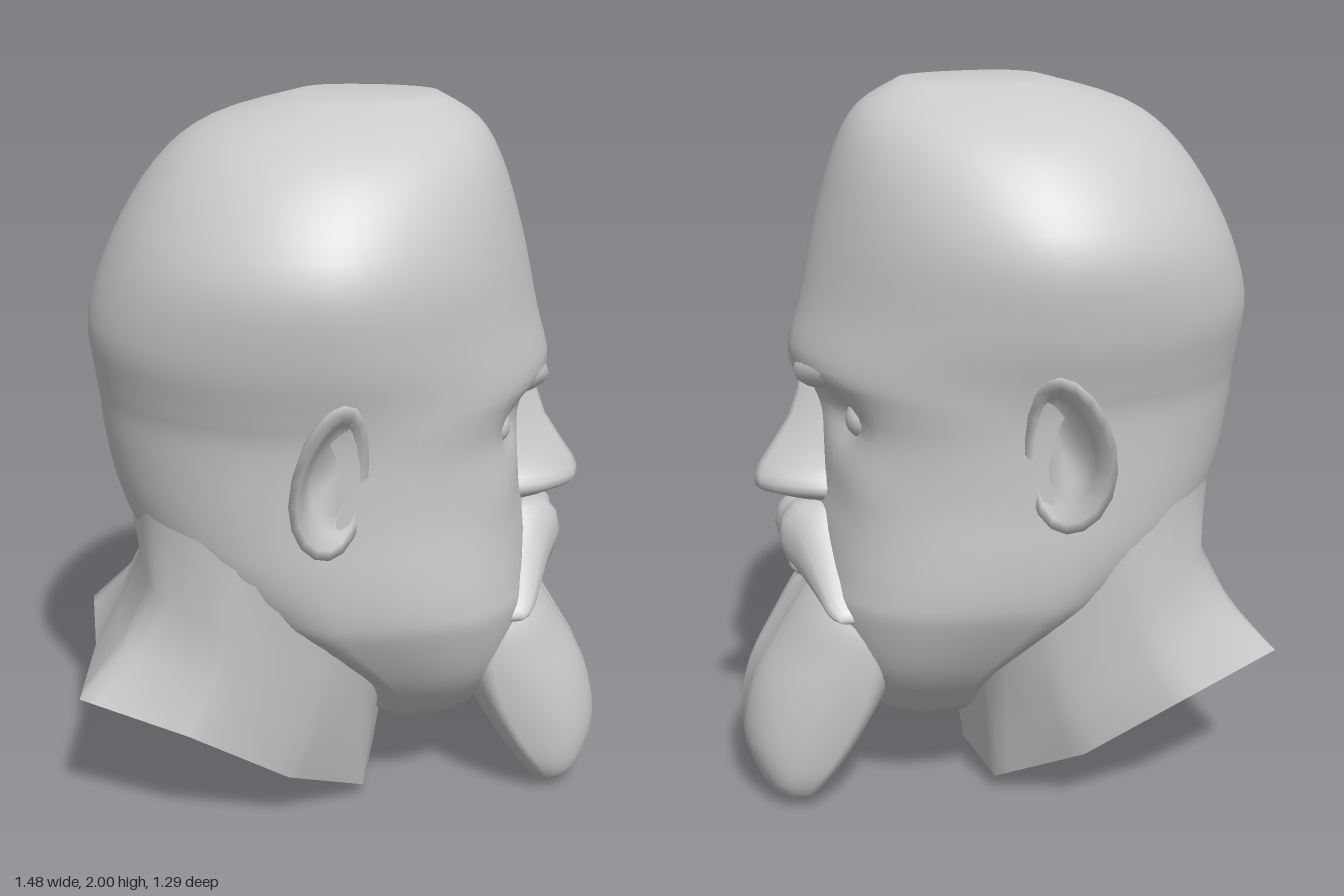
import * as THREE from 'three';

const material = new THREE.MeshStandardMaterial({ color: 0xcccccc, side: THREE.DoubleSide });

// Skin a list of closed loops (each a list of [x, y, z])
function loft(name, loops, caps = true) {
  const n = loops[0].length;
  const middle = (loop) => {
    const c = [0, 1, 2].map((k) => loop.reduce((s, p) => s + p[k], 0) / n);
    return loop.map(() => c);
  };
  const all = caps ? [middle(loops[0]), ...loops, middle(loops[loops.length - 1])] : loops;
  const index = [];
  for (let i = 0; i < all.length - 1; i++) {
    for (let j = 0; j < n; j++) {
      const a = i * n + j, b = i * n + (j + 1) % n;
      index.push(a, b, a + n, b, b + n, a + n);
    }
  }
  const geometry = new THREE.BufferGeometry();
  geometry.setAttribute('position', new THREE.Float32BufferAttribute(all.flat(2), 3));
  geometry.setIndex(index);
  geometry.computeVertexNormals();
  const mesh = new THREE.Mesh(geometry, material);
  mesh.name = name;
  return mesh;
}

// Insert rows between the given ones: bend 1 is a smooth curve, bend 0 keeps straight lines
function refine(rows, steps, bend = 1) {
  const out = [];
  for (let i = 0; i < rows.length - 1; i++) {
    const [p, q, r, s] = [rows[Math.max(i - 1, 0)], rows[i], rows[i + 1], rows[Math.min(i + 2, rows.length - 1)]];
    for (let k = 0; k < steps; k++) {
      const t = k / steps, t2 = t * t, t3 = t2 * t;
      out.push(q.map((v, c) => v + (r[c] - v) * (3 * t2 - 2 * t3)
        + 0.5 * bend * ((r[c] - p[c]) * (t3 - 2 * t2 + t) + (s[c] - v) * (t3 - t2))));
    }
  }
  return [...out, rows[rows.length - 1]];
}

// Horizontal loop from [y, back x, widest x, front x, half width, front power, back power]
function section([y, back, mid, front, half, nf, nb], n) {
  return Array.from({ length: n }, (_, j) => {
    const a = (j / n) * Math.PI * 2, c = Math.cos(a), s = Math.sin(a);
    const e = 2 / (c > 0 ? nf : nb);
    const reach = c > 0 ? front - mid : mid - back;
    return [mid + reach * Math.sign(c) * Math.abs(c) ** e, y, half * Math.sign(s) * Math.abs(s) ** e];
  });
}

// Rounded roll running across the face from rows of [z, x, y, x radius, y radius]
function roll(name, halfRows) {
  const rows = [...halfRows.slice(1).reverse().map(([z, ...r]) => [-z, ...r]), ...halfRows];
  return loft(name, refine(rows, 3).map(([z, x, y, rx, ry]) =>
    Array.from({ length: 12 }, (_, j) => {
      const a = -(j / 12) * Math.PI * 2;
      return [x + rx * Math.cos(a), y + ry * Math.sin(a), z];
    })));
}

const bump = (y, z, cy, cz, ry, rz) => Math.exp(-(((y - cy) / ry) ** 2) - ((z - cz) / rz) ** 2);

function makeHead() {
  const rows = [
    [2.0, -0.12, 0.0, 0.26, 0.13, 2, 2],
    [1.93, -0.35, -0.03, 0.37, 0.32, 2, 2],
    [1.82, -0.49, -0.05, 0.435, 0.47, 1.9, 2],
    [1.63, -0.61, -0.06, 0.495, 0.59, 1.7, 2],
    [1.43, -0.68, -0.06, 0.54, 0.58, 1.7, 2],
    [1.28, -0.67, -0.06, 0.575, 0.54, 1.8, 2],
    [1.2, -0.66, -0.05, 0.525, 0.52, 2, 2],
    [1.1, -0.65, -0.05, 0.5, 0.51, 2.05, 2],
    [0.95, -0.62, -0.05, 0.5, 0.505, 2.1, 2],
    [0.82, -0.56, -0.04, 0.52, 0.505, 2.2, 2],
    [0.7, -0.43, -0.02, 0.525, 0.495, 2.4, 2],
    [0.61, -0.28, 0.0, 0.525, 0.465, 2.6, 2],
    [0.43, 0.0, 0.12, 0.48, 0.36, 2.7, 2],
    [0.27, 0.06, 0.17, 0.4, 0.22, 2.4, 2],
  ];
  const loops = refine(rows, 4).map((r) => section(r, 64).map(([x, y, z]) => {
    // Sunken eye sockets and raised cheekbones
    const w = Math.abs(z);
    const d = x > 0.1 ? 0.02 * bump(y, w, 0.97, 0.3, 0.1, 0.1) - 0.055 * bump(y, w, 1.14, 0.17, 0.07, 0.09) : 0;
    return [x + d, y, z];
  }));
  return loft('head', loops);
}

function makeNeck() {
  // Half loops from the back round to the throat, mirrored across z
  const halves = [
    [[-0.6, 0.93, 0], [-0.52, 0.93, 0.29], [-0.3, 0.88, 0.44], [-0.07, 0.82, 0.48], [0.1, 0.72, 0.38], [0.2, 0.58, 0]],
    [[-0.57, 0.71, 0], [-0.52, 0.71, 0.28], [-0.33, 0.64, 0.43], [-0.08, 0.54, 0.43], [0.07, 0.42, 0.3], [0.15, 0.32, 0]],
    [[-0.64, 0.55, 0], [-0.61, 0.55, 0.29], [-0.38, 0.49, 0.43], [-0.12, 0.34, 0.41], [0.06, 0.22, 0.26], [0.12, 0.2, 0]],
    [[-0.71, 0.42, 0], [-0.735, 0.42, 0.33], [-0.44, 0.36, 0.45], [-0.17, 0.18, 0.38], [0.05, 0.05, 0.22], [0.1, 0.07, 0]],
  ];
  const loops = halves.map((half, i) => refine(half, 4, 1 - i / 3)).map((h) => [
    ...h.map(([x, y, z]) => [x, y, -z]),
    ...h.slice(1, -1).reverse(),
  ]);
  return loft('neck', loops, false);
}

function makeBeard() {
  const rows = [
    [0.67, 0.25, 0.35, 0.53, 0.25, 2.1, 2],
    [0.58, 0.27, 0.39, 0.59, 0.305, 2.1, 2],
    [0.48, 0.29, 0.4, 0.65, 0.315, 2.1, 2],
    [0.35, 0.34, 0.43, 0.72, 0.305, 2.2, 2.2],
    [0.2, 0.42, 0.5, 0.75, 0.28, 2.4, 2.2],
    [0.09, 0.49, 0.57, 0.72, 0.25, 2.5, 2.2],
    [0.03, 0.53, 0.59, 0.68, 0.2, 2.4, 2],
    [0.003, 0.57, 0.6, 0.63, 0.1, 2.2, 2],
  ];
  // Shallow cleft down the middle of the front
  const loops = refine(rows, 3).map((r) => section(r, 48).map(([x, y, z]) =>
    [x > r[2] ? x - 0.02 * Math.exp(-((z / 0.03) ** 2)) : x, y, z]));
  return loft('beard', loops);
}

function makeNose() {
  const rows = [
    [1.23, 0.42, 0.45, 0.54, 0.04, 1.6, 2],
    [1.1, 0.42, 0.45, 0.58, 0.055, 1.5, 2],
    [0.97, 0.42, 0.47, 0.665, 0.085, 1.4, 2],
    [0.92, 0.42, 0.49, 0.68, 0.115, 1.4, 2],
    [0.89, 0.42, 0.48, 0.665, 0.11, 1.4, 2],
    [0.865, 0.42, 0.46, 0.56, 0.08, 1.6, 2],
  ];
  return loft('nose', refine(rows, 2).map((r) => section(r, 20)));
}

function makeEar(side) {
  // Rings of [x radius, y radius, offset out from the head, flare]
  const rings = [
    [0.07, 0.15, 0.44, 0], [0.09, 0.19, 0.52, 0.3], [0.105, 0.215, 0.57, 1],
    [0.085, 0.185, 0.575, 1], [0.065, 0.15, 0.535, 0.7], [0.045, 0.1, 0.515, 0.1],
  ];
  const loops = rings.map(([rx, ry, z, flare]) => Array.from({ length: 18 }, (_, j) => {
    const a = (j / 18) * Math.PI * 2 * side, c = Math.cos(a), s = Math.sin(a);
    const out = flare * (-0.06 * c + 0.04 * s);
    return [-0.07 + rx * c + 0.02 * s * s, 1.12 + ry * s + 0.03 * c, side * (z + out)];
  }));
  return loft(side > 0 ? 'leftEar' : 'rightEar', loops);
}

function ball(name, radius, position, scale) {
  const mesh = new THREE.Mesh(new THREE.SphereGeometry(radius, 16, 12), material);
  mesh.name = name;
  mesh.position.set(...position);
  mesh.scale.set(...scale);
  return mesh;
}

export function createModel() {
  const group = new THREE.Group();
  group.name = 'beardedHead';
  group.add(makeHead(), makeNeck(), makeBeard(), makeNose());
  group.add(roll('brow', [
    [0, 0.49, 1.245, 0.07, 0.05], [0.08, 0.495, 1.245, 0.075, 0.05],
    [0.18, 0.455, 1.265, 0.07, 0.05], [0.27, 0.375, 1.27, 0.06, 0.045], [0.33, 0.3, 1.26, 0.03, 0.02],
  ]));
  group.add(roll('moustache', [
    [0, 0.53, 0.78, 0.08, 0.085], [0.06, 0.53, 0.77, 0.095, 0.105], [0.13, 0.5, 0.745, 0.09, 0.115],
    [0.21, 0.47, 0.68, 0.08, 0.075], [0.27, 0.46, 0.625, 0.06, 0.035], [0.3, 0.46, 0.605, 0.03, 0.01],
  ]));
  group.add(ball('lowerLip', 0.07, [0.54, 0.665, 0], [0.8, 0.45, 1.1]));
  for (const side of [1, -1]) {
    group.add(makeEar(side));
    group.add(ball(side > 0 ? 'leftEye' : 'rightEye', 0.075, [0.38, 1.135, side * 0.19], [0.9, 0.8, 1]));
  }
  return group;
}
